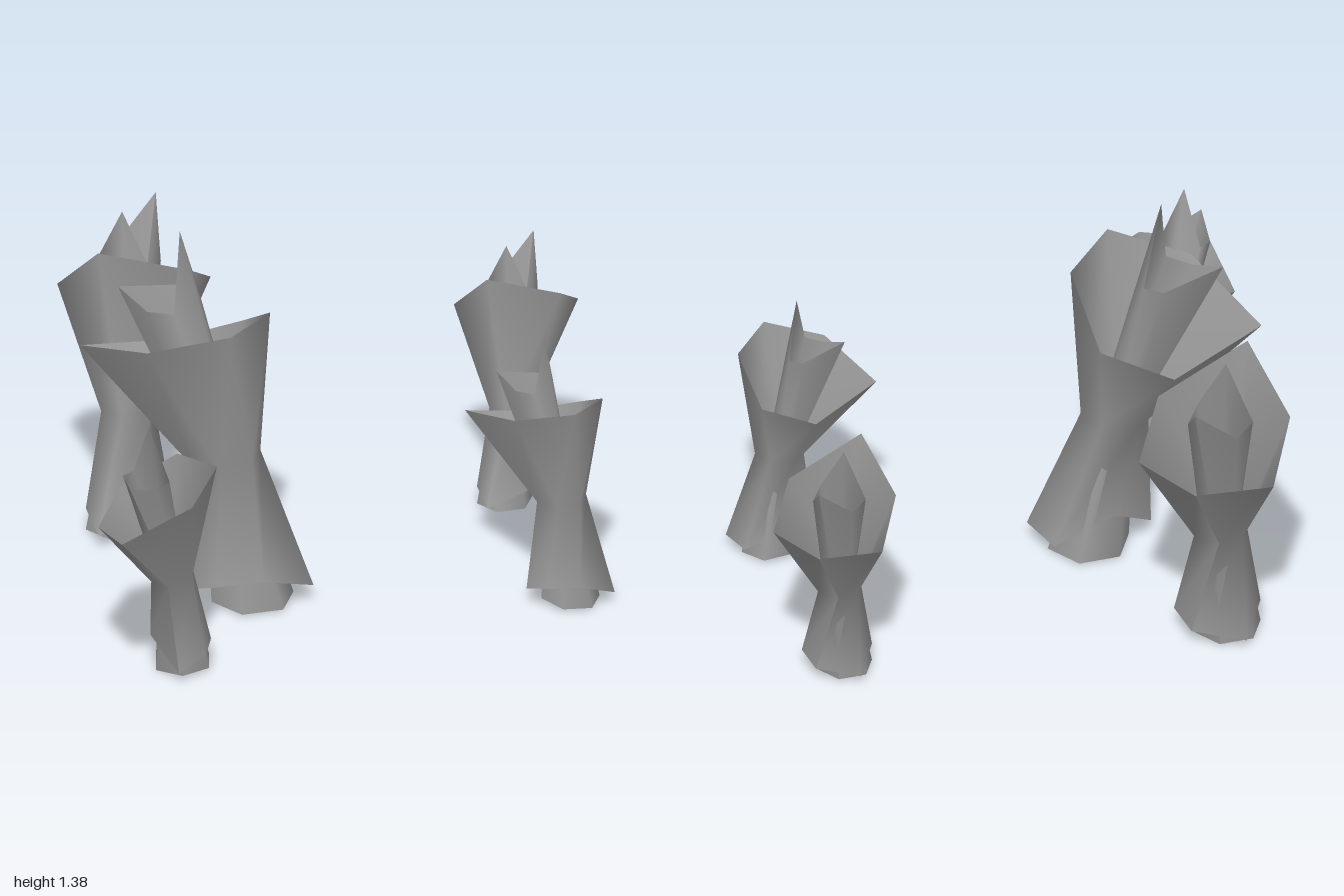
import * as THREE from 'three';

const stone = new THREE.MeshStandardMaterial({ color: 0x999999, side: THREE.DoubleSide });
stone.name = 'plain grey';

// Skin a rolled sheet through rings of [x, y, z] points, bottom ring first.
// The first point is repeated at the end, leaving one sharp seam.
function rolledSheet(rings) {
  const rows = rings.map((ring) => [...ring, ring[0]]);
  const n = rows[0].length;
  const index = [];
  for (let r = 0; r < rows.length - 1; r++) {
    for (let i = 0; i < n - 1; i++) {
      const a = r * n + i, b = a + 1, c = a + n, d = c + 1;
      index.push(a, c, b, b, c, d);
    }
  }
  const geo = new THREE.BufferGeometry();
  geo.setAttribute('position', new THREE.Float32BufferAttribute(rows.flat(2), 3));
  geo.setIndex(index);
  geo.computeVertexNormals();
  return geo;
}

// Six-sided ring, clockwise from above, starting at the given angle.
function hexRing(x, y, z, radius, start) {
  return Array.from({ length: 6 }, (_, i) => {
    const a = start + (i * Math.PI) / 3;
    return [x + radius * Math.cos(a), y, z + radius * Math.sin(a)];
  });
}

// Tall kind: leans far over, seam on its left edge
const tall = {
  sheath: rolledSheet([
    [[-.22, .05, -.02], [-.05, .18, -.15], [.145, .05, -.075], [.19, .06, .085], [0, .12, .135], [-.16, .11, .11]],
    [[-.2, .5, -.05], [-.13, .5, -.13], [-.01, .53, -.12], [.035, .54, -.03], [-.02, .54, .06], [-.13, .52, .065]],
    [[-.54, .91, -.25], [-.19, .83, -.365], [.04, .92, -.26], [.055, 1.08, .02], [-.14, 1.1, .21], [-.4, 1.02, .09]],
  ]),
  core: rolledSheet([
    hexRing(0, 0, -.005, .145, Math.PI),
    hexRing(-.09, .52, -.035, .075, Math.PI),
    [[-.42, 1.14, -.2], [-.195, 1.1, -.235], [-.14, 1.1, -.185], [-.23, 1.37, -.1], [-.275, 1.1, -.015], [-.35, 1.09, -.08]],
  ]),
};

// Ragged kind: low rim at the back, high corner opposite
const ragged = {
  sheath: rolledSheet([
    [[.15, .05, -.08], [.17, .07, .05], [.06, .1, .13], [-.12, .05, .15], [-.12, .08, -.01], [-.02, .03, -.165]],
    [[.07, .42, -.135], [.135, .42, -.06], [.09, .43, .03], [-.01, .44, .045], [-.06, .43, -.03], [-.02, .42, -.12]],
    [[.22, .76, -.33], [.365, .82, -.16], [.235, .95, .025], [-.1, 1.08, .07], [-.185, .88, -.135], [-.065, .73, -.315]],
  ]),
  core: rolledSheet([
    hexRing(0, 0, -.01, .12, -Math.PI / 3),
    hexRing(.04, .43, -.05, .065, -Math.PI / 3),
    [[.22, 1.08, -.33], [.18, .92, -.13], [.115, .94, -.045], [.04, 1.13, -.12], [-.035, .92, -.185], [.05, .92, -.27]],
  ]),
};

// Placement of each stalk: kind, base position, scale and rotation
const stalks = [
  { name: 'middleStalk', kind: tall, at: [-.32, 0, .12], scale: 1, turn: [0, 0, 0] },
  { name: 'frontLeftStalk', kind: tall, at: [-.685, 0, .535], scale: .718, turn: [0, 1.29, .05] },
  { name: 'frontRightStalk', kind: tall, at: [.715, .005, .43], scale: .71, turn: [.04, 0, -.08] },
  { name: 'backLeftStalk', kind: ragged, at: [-.6, 0, -.53], scale: 1, turn: [0, 0, 0] },
  { name: 'backRightStalk', kind: ragged, at: [.71, 0, -.355], scale: .81, turn: [0, 0, 0] },
];

export function createModel() {
  const model = new THREE.Group();
  model.name = 'stalkCluster';
  for (const { name, kind, at, scale, turn } of stalks) {
    const stalk = new THREE.Group();
    stalk.name = name;
    for (const part of ['sheath', 'core']) {
      const mesh = new THREE.Mesh(kind[part], stone);
      mesh.name = part;
      stalk.add(mesh);
    }
    stalk.position.set(...at);
    stalk.rotation.set(...turn, 'ZXY'); // yaw first, then lean
    stalk.scale.setScalar(scale);
    model.add(stalk);
  }
  return model;
}
